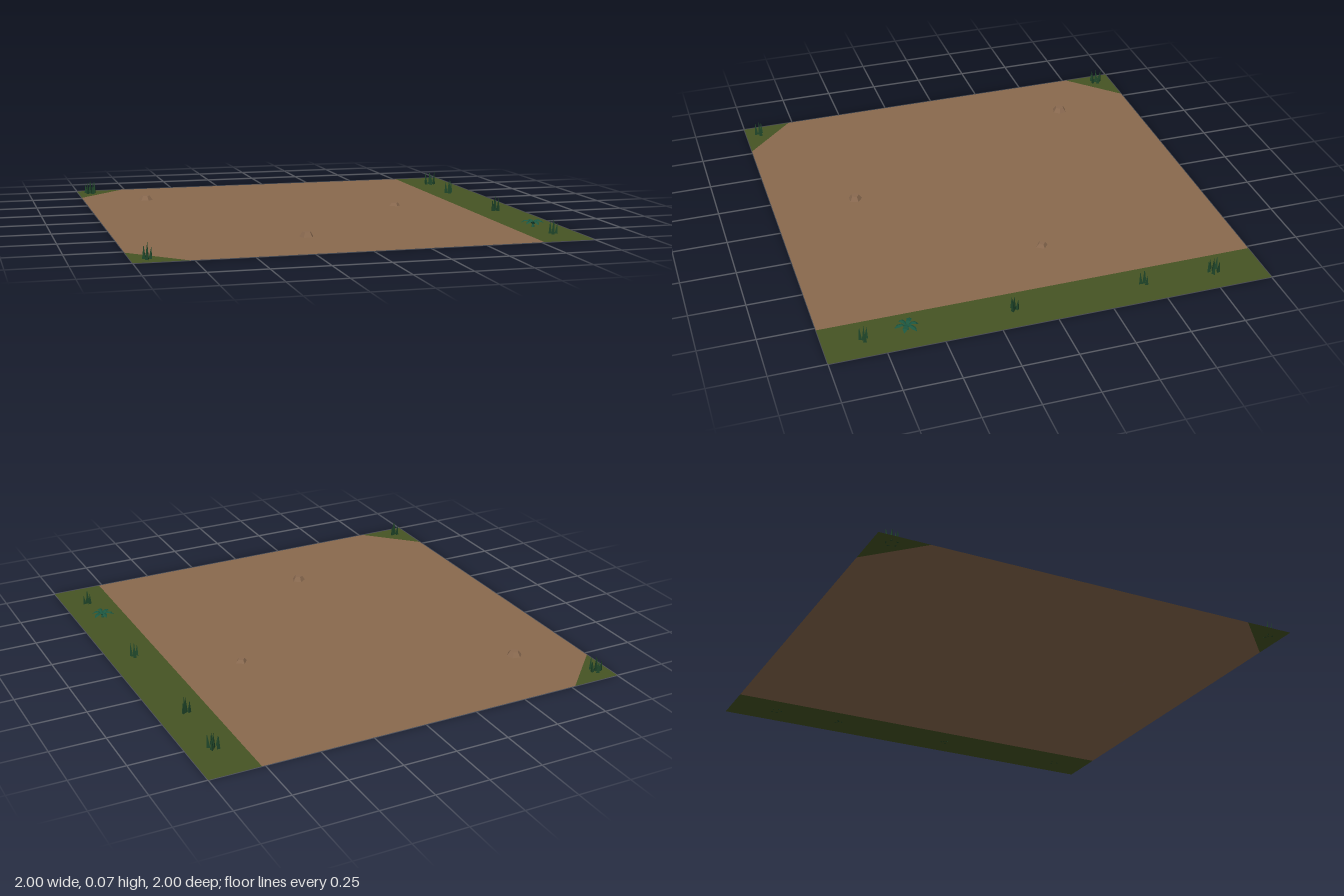
import * as THREE from 'three';

const mat = (name, color, extra = {}) => new THREE.MeshStandardMaterial({ name, color, flatShading: true, ...extra });

export function createModel() {
  const soil = mat('soil', 0x8a6a4e, { side: THREE.DoubleSide });
  const turf = mat('turf', 0x465424, { side: THREE.DoubleSide });
  const stone = mat('stone', 0x8a6a50);
  const blade = mat('blade green', 0x1f4529);
  const frond = mat('frond green', 0x1c5640, { side: THREE.DoubleSide });
  const root = new THREE.Group();
  root.name = 'groundTile';

  const add = (parent, name, geometry, material) => {
    const mesh = new THREE.Mesh(geometry, material);
    mesh.name = name;
    parent.add(mesh);
    return mesh;
  };

  // Flat ground pieces, outlined in x and z
  const flat = (name, points, material) => {
    const shape = new THREE.Shape(points.map(([x, z]) => new THREE.Vector2(x, -z)));
    add(root, name, new THREE.ShapeGeometry(shape).rotateX(-Math.PI / 2), material);
  };
  const edge = 0.765, cut = -0.77;
  flat('dirtGround', [[cut, 1], [edge, 1], [edge, -1], [cut, -1], [-1, cut], [-1, -cut]], soil);
  flat('grassStrip', [[edge, 1], [1, 1], [1, -1], [edge, -1]], turf);
  flat('backGrassCorner', [[-1, -1], [-1, cut], [cut, -1]], turf);
  flat('frontGrassCorner', [[-1, 1], [cut, 1], [-1, -cut]], turf);

  // Low faceted rocks: x, z, radius, height, sides, yaw
  for (const [x, z, r, h, sides, yaw] of [
    [-0.697, -0.62, 0.036, 0.022, 6, 0.3],
    [-0.181, 0.607, 0.033, 0.022, 5, 0.6],
    [0.462, -0.113, 0.029, 0.015, 4, 0.15],
  ]) {
    const rock = add(root, 'rock', new THREE.CylinderGeometry(r * 0.58, r, h, sides), stone);
    rock.position.set(x, h / 2, z);
    rock.rotation.y = yaw;
  }

  // Grass tufts made of pointed blades: x, z, blade count, spread, yaw
  for (const [x, z, count, spread, yaw] of [
    [-0.94, -0.918, 6, 0.022, 0.2],
    [0.88, -0.773, 6, 0.022, 0.9],
    [0.87, -0.443, 4, 0.015, 0.5],
    [0.881, 0.16, 4, 0.014, 1.4],
    [0.888, 0.822, 4, 0.015, 0.1],
    [-0.93, 0.932, 4, 0.015, 0.3],
  ]) {
    const tuft = new THREE.Group();
    tuft.name = 'grassTuft';
    tuft.position.set(x, 0, z);
    tuft.rotation.y = yaw;
    for (let i = 0; i < count; i++) {
      const h = i === 0 ? 0.073 : 0.05 + 0.016 * ((i * 2) % 3) / 2;
      const b = add(tuft, 'grassBlade', new THREE.ConeGeometry(0.0095, h, 3).translate(0, h / 2, 0), blade);
      const a = (i / (count - 1)) * Math.PI * 2;
      const d = i === 0 ? 0 : spread;
      b.position.set(Math.cos(a) * d, 0, Math.sin(a) * d);
      b.rotation.set(0, -a, i === 0 ? 0 : -0.06);
    }
    root.add(tuft);
  }

  // Fern: arching fronds folded along the midrib
  const frondGeometry = (length) => {
    // distance along the frond, height, half width
    const sections = [[0, 0.012, 0.003], [0.35, 0.031, 0.009], [0.7, 0.03, 0.011], [1, 0.016, 0]];
    const positions = [], index = [];
    sections.forEach(([t, y, w], i) => {
      positions.push(t * length, y - w * 0.4, -w, t * length, y, 0, t * length, y - w * 0.4, w);
      if (i === 0) return;
      for (const k of [0, 1]) {
        const p = (i - 1) * 3 + k, q = i * 3 + k;
        index.push(p, p + 1, q, p + 1, q + 1, q);
      }
    });
    const geometry = new THREE.BufferGeometry();
    geometry.setAttribute('position', new THREE.Float32BufferAttribute(positions, 3));
    geometry.setIndex(index);
    geometry.computeVertexNormals();
    return geometry;
  };
  const fern = new THREE.Group();
  fern.name = 'fern';
  fern.position.set(0.873, 0, 0.632);
  for (let i = 0; i < 6; i++) {
    add(fern, 'fernFrond', frondGeometry(i % 2 ? 0.052 : 0.058), frond).rotation.y = 0.55 + (i * Math.PI) / 3;
  }
  add(fern, 'fernCrown', new THREE.ConeGeometry(0.008, 0.028, 5).translate(0, 0.014, 0), frond);
  root.add(fern);

  return root;
}
